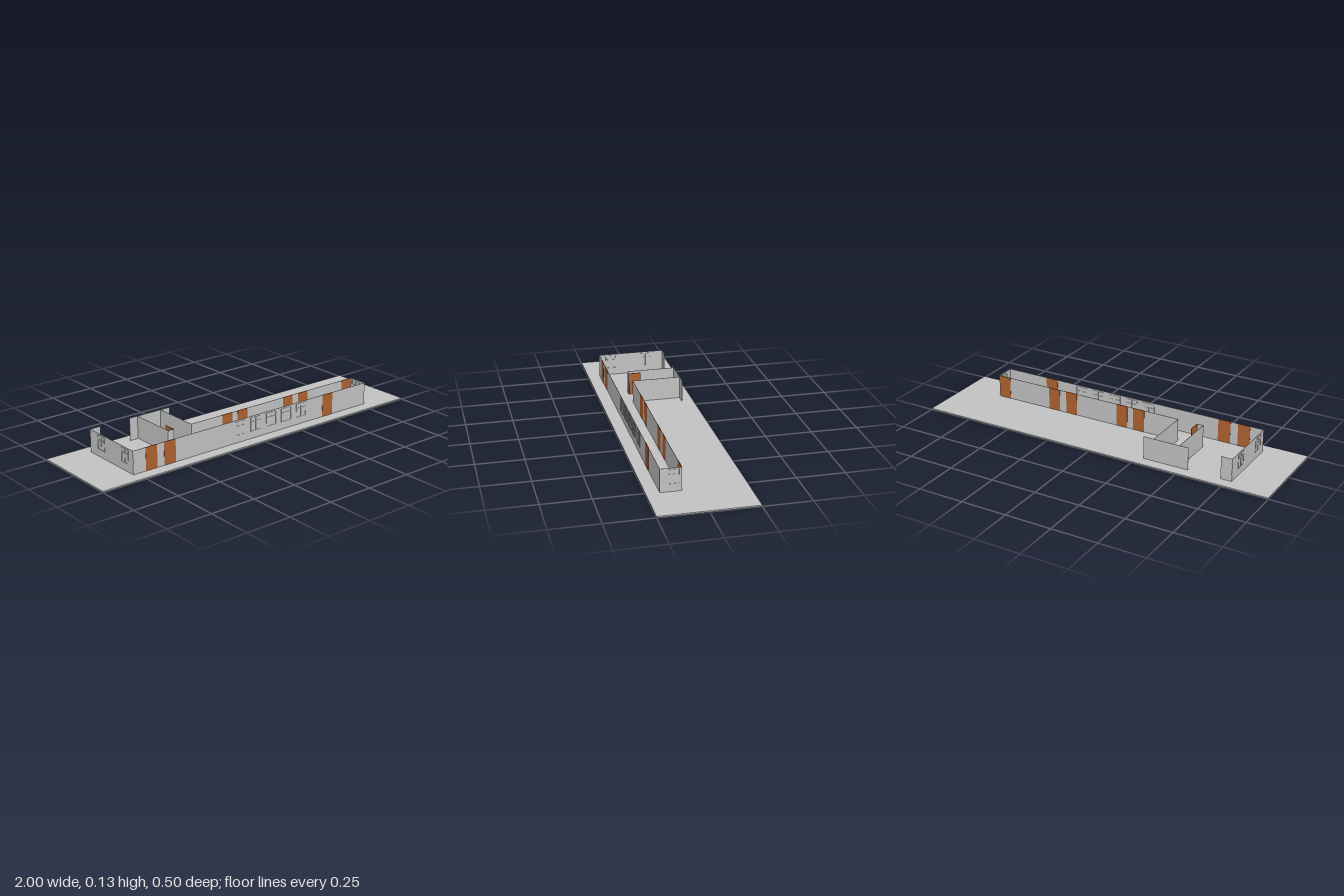
import * as THREE from 'three';

export function createModel() {
  const model = new THREE.Group();
  const grey = new THREE.MeshStandardMaterial({ color: 0xc2c2c2 });
  grey.name = 'plaster grey';
  const brown = new THREE.MeshStandardMaterial({ color: 0xae6231 });
  brown.name = 'door brown';

  const FLOOR = 0.007, TOP = 0.13;
  const FRONT = 0.182, INNER = 0.076, BACK = -0.188;
  const LEFT = -0.778, RIGHT = 0.77;

  // Box given by its two opposite corners
  function block(name, mat, x0, x1, y0, y1, z0, z1) {
    const mesh = new THREE.Mesh(new THREE.BoxGeometry(x1 - x0, y1 - y0, z1 - z0), mat);
    mesh.position.set((x0 + x1) / 2, (y0 + y1) / 2, (z0 + z1) / 2);
    mesh.name = name;
    model.add(mesh);
  }
  // Thin upright panels running along x or along z
  const alongX = (name, mat, z, x0, x1, t = 0.002, y0 = FLOOR, y1 = TOP) =>
    block(name, mat, x0, x1, y0, y1, z - t / 2, z + t / 2);
  const alongZ = (name, mat, x, z0, z1, t = 0.002, y0 = FLOOR, y1 = TOP) =>
    block(name, mat, x - t / 2, x + t / 2, y0, y1, z0, z1);

  // Ground slab
  block('groundSlab', grey, -1, 1, 0, FLOOR, -0.25, 0.25);

  // Long walls of the corridor, split around the doors
  function wallWithDoors(name, z, x0, x1, doors) {
    let start = x0;
    for (const [a, b] of doors) {
      if (a > start) alongX(name, grey, z, start, a);
      alongX(name + 'Door', brown, z, a, b, 0.004);
      start = b;
    }
    if (x1 > start) alongX(name, grey, z, start, x1);
  }
  wallWithDoors('frontWall', FRONT, LEFT, RIGHT, [[-0.705, -0.637], [-0.595, -0.525], [0.455, 0.527]]);
  wallWithDoors('innerWall', INNER, -0.345, RIGHT,
    [[-0.147, -0.08], [-0.045, 0.02], [0.267, 0.334], [0.375, 0.443], [0.698, 0.766]]);

  // End walls and the short return at the back
  alongZ('endWall', grey, RIGHT, INNER, FRONT);
  alongZ('endWall', grey, LEFT, BACK, FRONT);
  alongX('backReturn', grey, BACK, LEFT, -0.718);

  // Small room behind the corridor
  alongX('roomBackWall', grey, BACK, -0.54, -0.288);
  alongZ('roomSideWall', grey, -0.49, BACK, INNER);
  alongZ('roomSideWall', grey, -0.345, BACK, INNER);
  alongX('roomFrontWall', grey, INNER, -0.49, -0.455);
  alongZ('roomDoor', brown, -0.455, 0.01, 0.074, 0.004);

  // Window frames: slim bars on both faces of a wall
  function windowFrame(panel, at, centre, width) {
    const y0 = 0.045, y1 = 0.122, bar = 0.004, t = 0.006;
    for (const k of [-0.5, 0, 0.5]) {
      const c = centre + k * (width - bar);
      panel('windowPost', grey, at, c - bar / 2, c + bar / 2, t, y0, y1);
    }
    for (const y of [y0, 0.095, y1 - bar])
      panel('windowRail', grey, at, centre - width / 2, centre + width / 2, t, y, y + bar);
  }
  for (let i = 0; i < 5; i++) windowFrame(alongX, FRONT, -0.115 + i * 0.104, 0.07);
  for (const z of [-0.09, 0.115]) windowFrame(alongZ, LEFT, z, 0.06);
  windowFrame(alongZ, RIGHT, 0.115, 0.06);

  return model;
}
